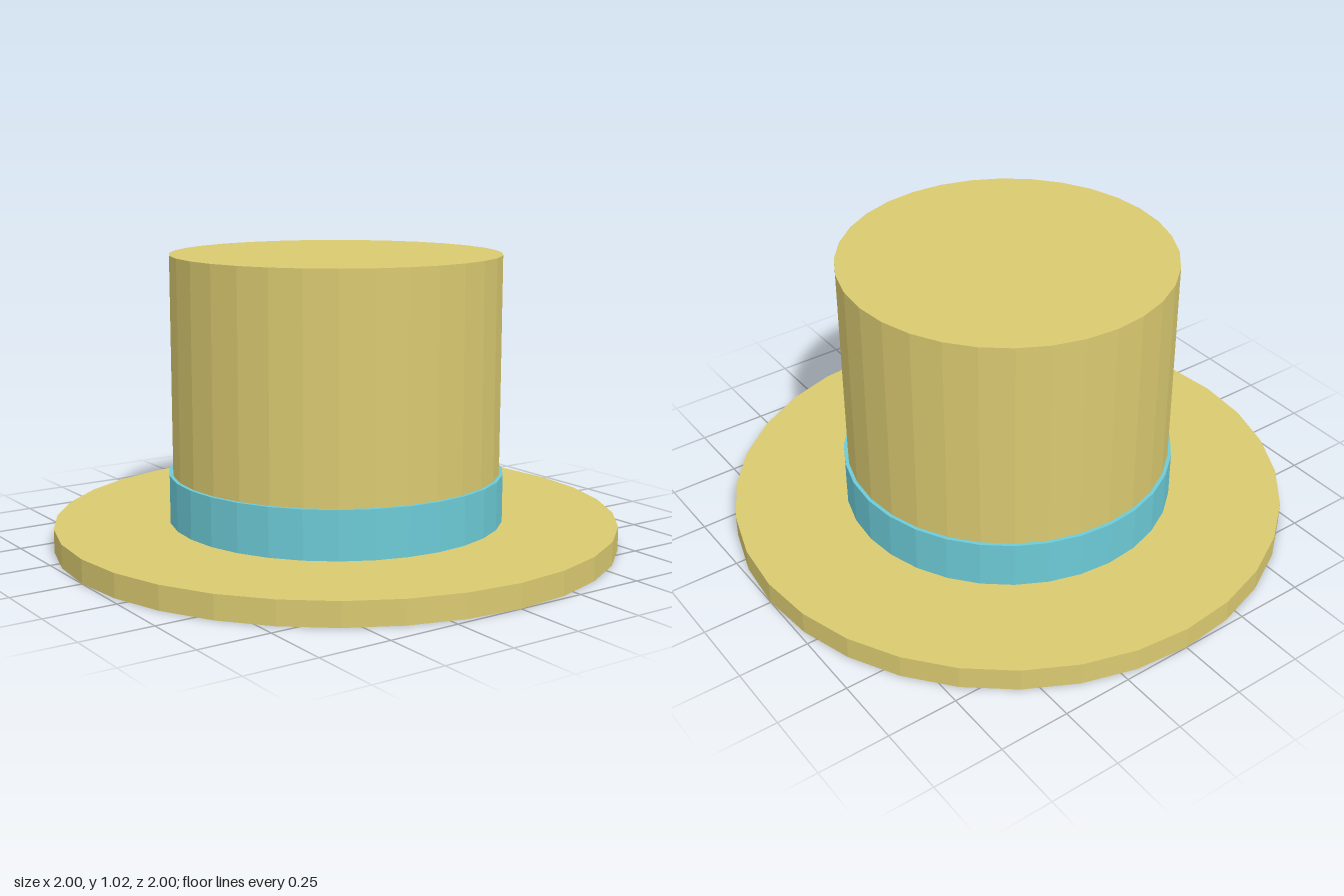
import * as THREE from 'three';

const SIDES = 32;

export function createModel() {
  const straw = new THREE.MeshStandardMaterial({ color: 0xd9c970 });
  straw.name = 'straw';
  const ribbon = new THREE.MeshStandardMaterial({ color: 0x6ccad6 });
  ribbon.name = 'ribbon blue';

  const hat = new THREE.Group();
  hat.name = 'hat';

  // Faceted upright disc from y = bottom to y = top
  function disc(name, radius, bottom, top, material) {
    const geometry = new THREE.CylinderGeometry(radius, radius, top - bottom, SIDES).toNonIndexed();
    geometry.computeVertexNormals();
    geometry.translate(0, (bottom + top) / 2, 0);
    const mesh = new THREE.Mesh(geometry, material);
    mesh.name = name;
    hat.add(mesh);
  }

  disc('brim', 1, 0, 0.083, straw);
  disc('band', 0.595, 0.083, 0.253, ribbon);
  disc('crown', 0.582, 0.083, 1.023, straw);

  return hat;
}
